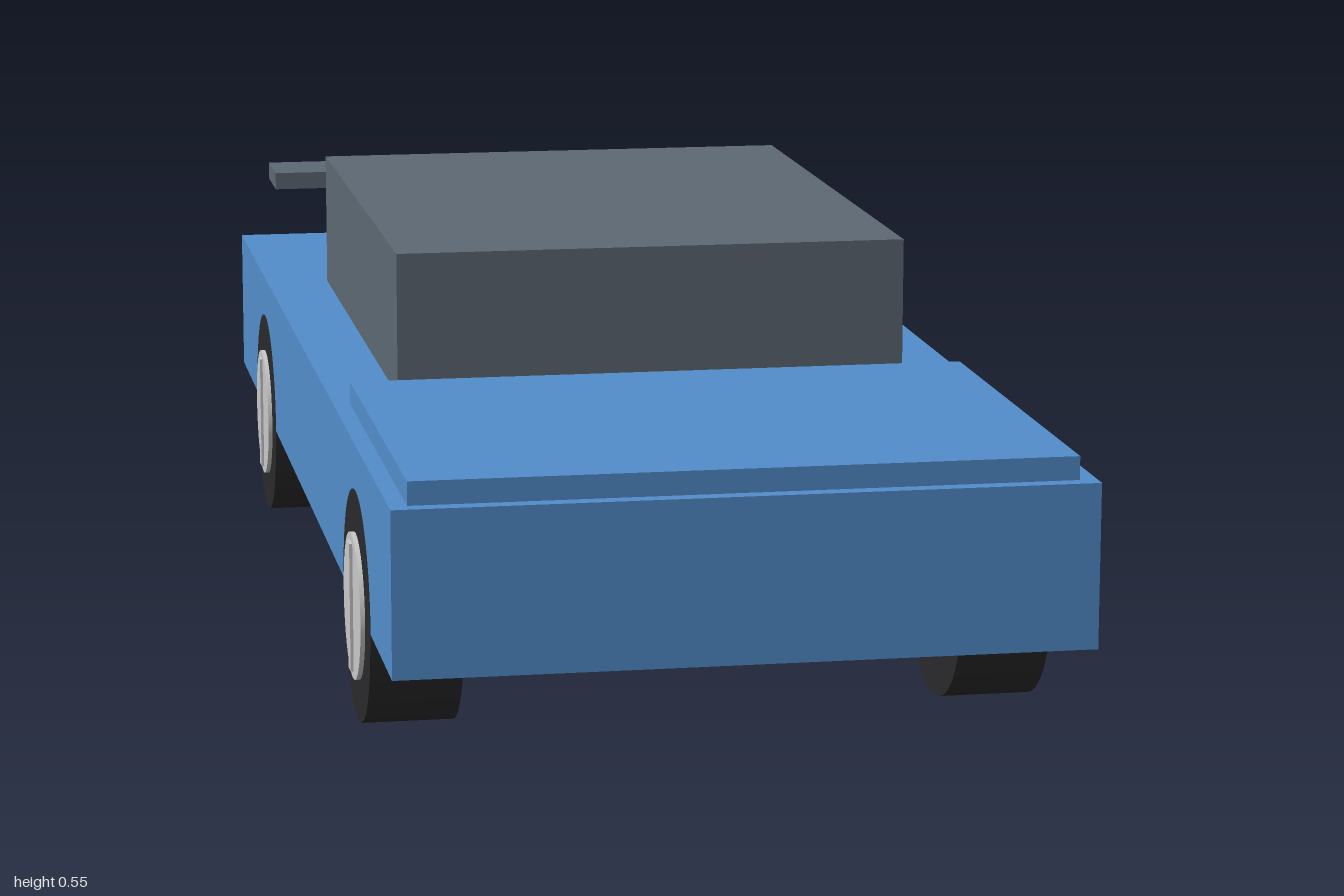
import * as THREE from 'three';

const mat = (name, color) => {
  const m = new THREE.MeshStandardMaterial({ color });
  m.name = name;
  return m;
};

export function createModel() {
  const paint = mat('blue paint', 0x528dcb);
  const trim = mat('slate grey', 0x5d6873);
  const rubber = mat('black rubber', 0x2a2a2c);
  const metal = mat('light metal', 0xc8c8c8);
  const car = new THREE.Group();
  car.name = 'car';

  // Box given by half width and its y and z ranges
  const box = (name, material, halfW, y0, y1, z0, z1) => {
    const mesh = new THREE.Mesh(new THREE.BoxGeometry(halfW * 2, y1 - y0, z1 - z0), material);
    mesh.position.set(0, (y0 + y1) / 2, (z0 + z1) / 2);
    mesh.name = name;
    car.add(mesh);
  };

  // Bodywork
  box('body', paint, 0.4375, 0.15, 0.36, -0.99, 1);
  box('hood', paint, 0.415, 0.36, 0.39, 0.375, 0.98);
  box('cabin', trim, 0.346, 0.36, 0.552, -0.55, 0.33);
  box('spoiler', trim, 0.391, 0.45, 0.476, -1, -0.886);

  // Wheels: tyre, hub disc through it, and an upright bar across the hub
  const tyreGeo = new THREE.CylinderGeometry(0.15, 0.15, 0.118, 48).rotateZ(Math.PI / 2);
  const hubGeo = new THREE.CylinderGeometry(0.095, 0.095, 0.13, 40).rotateZ(Math.PI / 2);
  const barGeo = new THREE.BoxGeometry(0.138, 0.168, 0.024);
  for (const side of [1, -1]) {
    for (const z of [0.63, -0.595]) {
      const wheel = new THREE.Group();
      wheel.name = (z > 0 ? 'front' : 'rear') + (side > 0 ? 'Left' : 'Right') + 'Wheel';
      const parts = [['tyre', tyreGeo, rubber], ['hub', hubGeo, metal], ['hubBar', barGeo, metal]];
      for (const [name, geo, material] of parts) {
        const mesh = new THREE.Mesh(geo, material);
        mesh.name = name;
        wheel.add(mesh);
      }
      wheel.position.set(side * 0.379, 0.15, z);
      car.add(wheel);
    }
  }
  return car;
}
